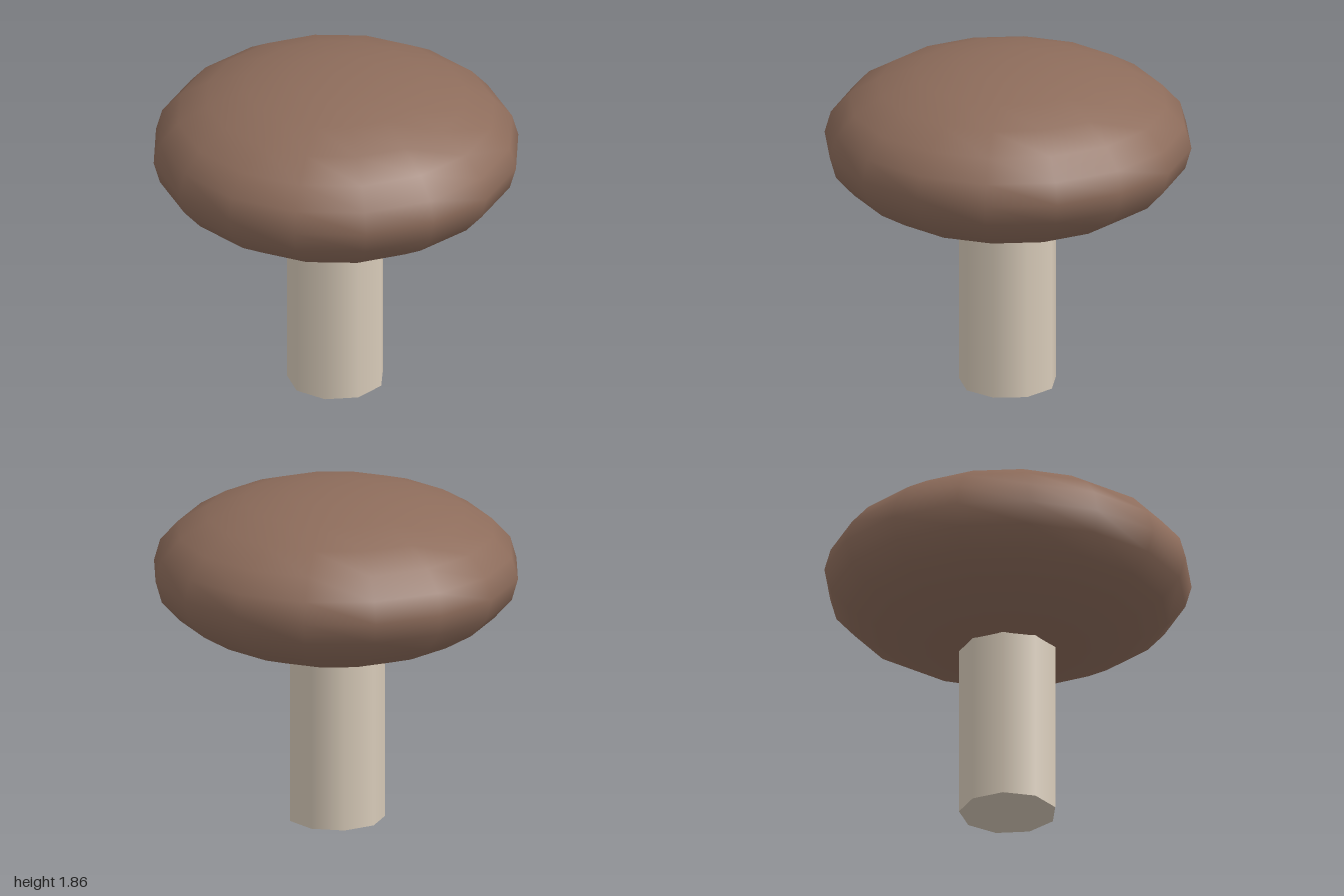
import * as THREE from 'three';

export function createModel() {
  const model = new THREE.Group();
  model.name = 'mushroom';

  const capBrown = new THREE.MeshStandardMaterial({ color: 0x8d6c5b });
  capBrown.name = 'capBrown';
  const stemCream = new THREE.MeshStandardMaterial({ color: 0xd8cbb9 });
  stemCream.name = 'stemCream';

  // Nine-sided stem, running up into the cap
  const stemHeight = 1.3;
  const stem = new THREE.Mesh(new THREE.CylinderGeometry(0.266, 0.266, stemHeight, 9), stemCream);
  stem.name = 'stem';
  stem.position.y = stemHeight / 2;
  model.add(stem);

  // Flattened sphere cap
  const cap = new THREE.Mesh(new THREE.SphereGeometry(1, 16, 12), capBrown);
  cap.name = 'cap';
  cap.scale.y = 0.46;
  cap.position.y = 1.4;
  model.add(cap);

  return model;
}
